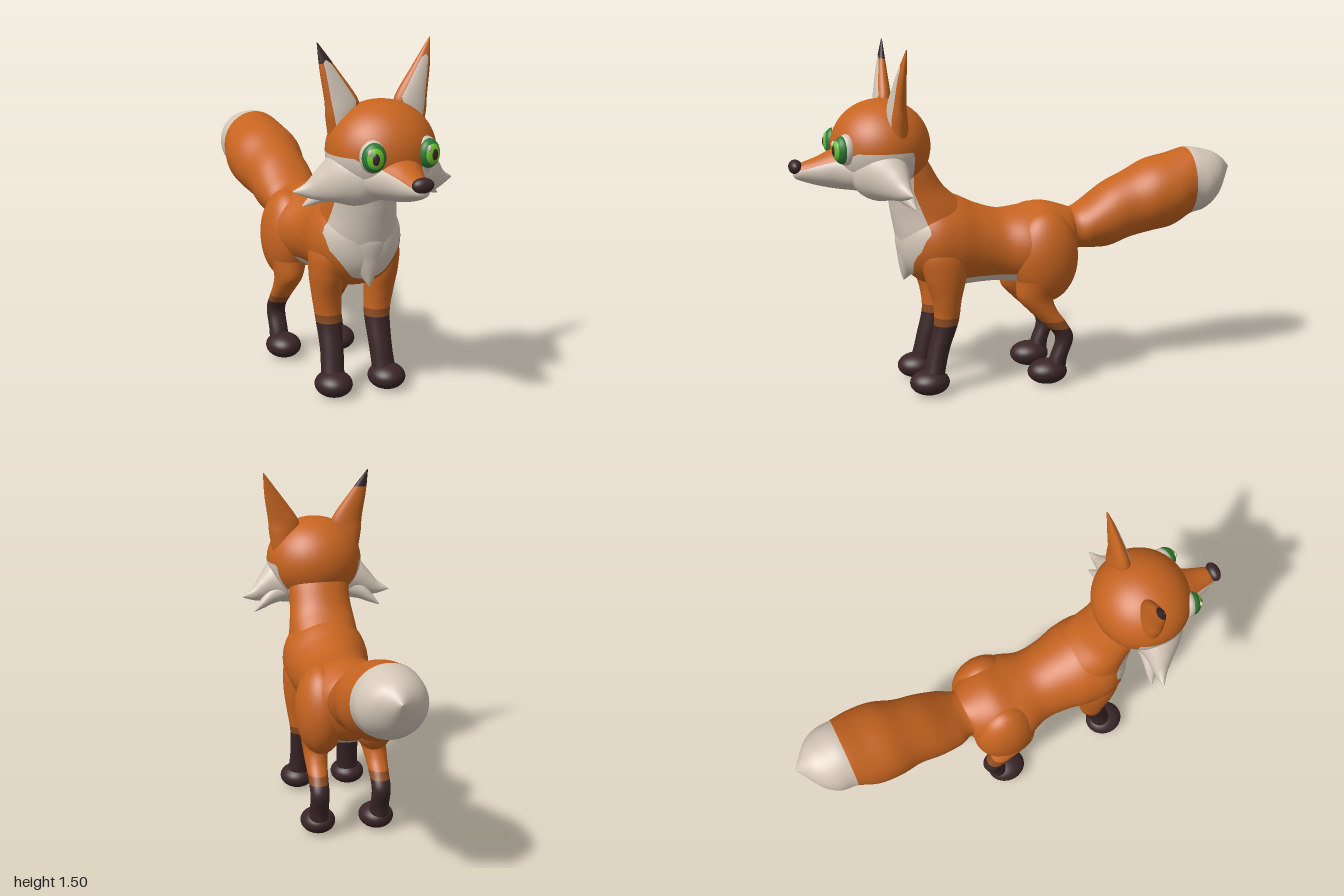
import * as THREE from 'three';

const mat = (name, color) => new THREE.MeshStandardMaterial({ name, color });

// Closed-ring loft. Stations [x, y, z, ra, rb] increase along the axis; rings are ellipses across it.
const RING_AXES = { x: [1, 2], y: [2, 0], z: [0, 1] };
function loft(axis, stations, seg = 36, steps = 8) {
  const centre = new THREE.CatmullRomCurve3(stations.map(s => new THREE.Vector3(s[0], s[1], s[2])), false, 'catmullrom');
  const radii = new THREE.CatmullRomCurve3(stations.map(s => new THREE.Vector3(s[3], s[4], 0)), false, 'catmullrom');
  const [u, v] = RING_AXES[axis];
  const n = (stations.length - 1) * steps, pos = [], idx = [];
  for (let i = 0; i <= n; i++) {
    const c = centre.getPoint(i / n), r = radii.getPoint(i / n);
    for (let j = 0; j < seg; j++) {
      const a = j / seg * Math.PI * 2, p = c.toArray();
      p[u] += Math.max(r.x, 0.001) * Math.cos(a);
      p[v] += Math.max(r.y, 0.001) * Math.sin(a);
      pos.push(...p);
      if (i < n) {
        const k = i * seg + j, b = i * seg + (j + 1) % seg;
        idx.push(k, b, b + seg, k, b + seg, k + seg);
      }
    }
  }
  const g = new THREE.BufferGeometry();
  g.setAttribute('position', new THREE.Float32BufferAttribute(pos, 3));
  g.setIndex(idx);
  g.computeVertexNormals();
  return g;
}

function ellipsoid(x, y, z, rx, ry, rz, seg = 36) {
  return new THREE.SphereGeometry(1, seg, Math.round(seg * 0.7)).scale(rx, ry, rz).translate(x, y, z);
}

// Piecewise linear lookup through [t, value] points
function ramp(pts, t) {
  if (t <= pts[0][0]) return pts[0][1];
  for (let i = 1; i < pts.length; i++) {
    const [a, va] = pts[i - 1], [b, vb] = pts[i];
    if (t <= b) return va + (vb - va) * (t - a) / (b - a);
  }
  return pts[pts.length - 1][1];
}

// Splits triangles cleanly along f = 0; each rule [material, f] takes the region where f > 0.
function paintedMesh(name, geometry, base, rules) {
  const src = geometry.toNonIndexed(), P = src.attributes.position, N = src.attributes.normal;
  let rest = [];
  const vert = i => [P.getX(i), P.getY(i), P.getZ(i), N.getX(i), N.getY(i), N.getZ(i)];
  for (let i = 0; i < P.count; i += 3) rest.push([vert(i), vert(i + 1), vert(i + 2)]);
  const parts = [];
  for (const [material, f] of rules) {
    const inside = [], outside = [];
    for (const tri of rest) {
      const d = tri.map(p => f(p[0], p[1], p[2]));
      const polys = [[], []];
      for (let i = 0; i < 3; i++) {
        const j = (i + 1) % 3;
        polys[d[i] > 0 ? 0 : 1].push(tri[i]);
        if ((d[i] > 0) !== (d[j] > 0)) {
          const t = d[i] / (d[i] - d[j]);
          const cut = tri[i].map((c, k) => c + (tri[j][k] - c) * t);
          polys[0].push(cut);
          polys[1].push(cut);
        }
      }
      polys.forEach((q, s) => {
        for (let k = 2; k < q.length; k++) (s ? outside : inside).push([q[0], q[k - 1], q[k]]);
      });
    }
    parts.push([material, inside]);
    rest = outside;
  }
  parts.push([base, rest]);
  const g = new THREE.BufferGeometry(), pos = [], nor = [], mats = [];
  for (const [material, tris] of parts) {
    if (!tris.length) continue;
    g.addGroup(pos.length / 3, tris.length * 3, mats.length);
    mats.push(material);
    for (const t of tris) for (const p of t) { pos.push(p[0], p[1], p[2]); nor.push(p[3], p[4], p[5]); }
  }
  g.setAttribute('position', new THREE.Float32BufferAttribute(pos, 3));
  g.setAttribute('normal', new THREE.Float32BufferAttribute(nor, 3));
  const m = new THREE.Mesh(g, mats);
  m.name = name;
  return m;
}

export function createModel() {
  const root = new THREE.Group();
  root.name = 'fox';
  const orange = mat('orange fur', 0xc66420), cream = mat('cream fur', 0xd4c6b8), dark = mat('dark brown fur', 0x3a2527);
  const band = mat('brown fur', 0x8c4a20), darkGreen = mat('dark green', 0x2c7a34), green = mat('bright green', 0x6cc42e);
  const add = (name, g, base, rules = []) => root.add(paintedMesh(name, g, base, rules));

  // Colour regions
  const bibBack = [[0.5, 0.5], [0.6, 0.455], [0.72, 0.43], [0.9, 0.5]];
  const bibWidth = [[0.46, 0], [0.55, 0.085], [0.65, 0.16], [0.72, 0.175], [0.8, 0.155], [0.9, 0.15]];
  const bib = [cream, (x, y, z) => Math.min(z - ramp(bibBack, y), ramp(bibWidth, y) - Math.abs(x))];
  const belly = [cream, (x, y, z) => Math.min(0.51 - y, 0.3 - z, z + 0.17)];
  const maskLine = [[0.74, 1.08], [0.8, 1.04], [0.95, 1.0], [1, 0.99]];
  const mask = [cream, (x, y, z) => Math.min(ramp(maskLine, z) - y, z - 0.505)];

  // Torso, neck and chest tuft
  add('torso', loft('z', [
    [0, 0.67, -0.26, 0.07, 0.08], [0, 0.625, -0.2, 0.15, 0.15], [0, 0.61, -0.1, 0.2, 0.19],
    [0, 0.615, 0, 0.2, 0.17], [0, 0.62, 0.1, 0.165, 0.16], [0, 0.635, 0.2, 0.168, 0.175],
    [0, 0.655, 0.3, 0.19, 0.2], [0, 0.665, 0.4, 0.193, 0.2], [0, 0.67, 0.48, 0.155, 0.165],
    [0, 0.67, 0.53, 0.09, 0.1], [0, 0.67, 0.55, 0.001, 0.001]], 48), orange, [bib, belly]);
  add('neck', loft('y', [
    [0, 0.58, 0.4, 0.13, 0.15], [0, 0.7, 0.39, 0.165, 0.168], [0, 0.8, 0.408, 0.165, 0.155],
    [0, 0.9, 0.468, 0.123, 0.142], [0, 1.0, 0.525, 0.12, 0.14], [0, 1.08, 0.56, 0.11, 0.12]], 48), orange, [bib]);
  add('chestTuft', loft('y', [
    [0, 0.49, 0.52, 0.002, 0.002], [0, 0.53, 0.5, 0.034, 0.03], [0, 0.6, 0.475, 0.07, 0.075],
    [0, 0.7, 0.46, 0.09, 0.11], [0, 0.78, 0.44, 0.05, 0.06]]), cream);

  // Tail with pale tip
  add('tail', loft('z', [
    [0, 0.905, -1, 0.001, 0.001], [0, 0.89, -0.965, 0.05, 0.055], [0, 0.87, -0.92, 0.108, 0.105],
    [0, 0.855, -0.86, 0.143, 0.138], [0, 0.85, -0.79, 0.15, 0.153], [0, 0.815, -0.7, 0.172, 0.165],
    [0, 0.795, -0.6, 0.172, 0.163], [0, 0.76, -0.5, 0.15, 0.15], [0, 0.72, -0.4, 0.146, 0.143],
    [0, 0.685, -0.3, 0.132, 0.107], [0, 0.67, -0.24, 0.108, 0.093], [0, 0.66, -0.16, 0.12, 0.1]], 48),
  orange, [[cream, (x, y, z) => -0.785 - z]]);

  // Head, snout and nose
  add('head', ellipsoid(0, 1.08, 0.61, 0.222, 0.2, 0.21, 56), orange, [mask]);
  add('snout', loft('z', [
    [0, 0.99, 0.5, 0.12, 0.08], [0, 0.99, 0.6, 0.2, 0.112], [0, 0.987, 0.7, 0.175, 0.09],
    [0, 0.995, 0.8, 0.1, 0.085], [0, 0.988, 0.88, 0.066, 0.06], [0, 0.987, 0.95, 0.042, 0.036],
    [0, 0.985, 0.975, 0.022, 0.02], [0, 0.985, 0.98, 0.001, 0.001]], 48), orange, [mask]);
  add('nose', ellipsoid(0, 1.01, 0.97, 0.045, 0.03, 0.028, 24), dark);

  for (const s of [1, -1]) {
    const side = s > 0 ? 'left' : 'right';
    const mirror = (axis, st) => {
      const m = st.map(([x, ...r]) => [x * s, ...r]);
      return axis === 'x' && s < 0 ? m.reverse() : m;
    };
    const limb = (name, axis, st, base, rules) => add(side + name, loft(axis, mirror(axis, st)), base, rules);

    // Cheek ruff with two points
    limb('Cheek', 'x', [
      [0.05, 0.985, 0.64, 0.1, 0.12], [0.13, 0.985, 0.635, 0.113, 0.12], [0.2, 0.985, 0.62, 0.098, 0.09],
      [0.26, 0.955, 0.59, 0.06, 0.05], [0.3, 0.934, 0.57, 0.03, 0.025], [0.35, 0.927, 0.552, 0.003, 0.003]], orange, [mask]);
    limb('CheekPoint', 'x', [
      [0.1, 0.96, 0.6, 0.06, 0.07], [0.2, 0.93, 0.57, 0.045, 0.045],
      [0.25, 0.9, 0.55, 0.03, 0.028], [0.3, 0.86, 0.528, 0.003, 0.003]], cream);

    // Ear with pale lining; only the right one has a dark tip
    const lining = [cream, (x, y, z) => {
      const t = (y - 1.15) / 0.35, cx = ramp([[1.28, 0.152], [1.4, 0.2], [1.5, 0.245]], y);
      const half = ramp([[1.18, 0.035], [1.28, 0.052], [1.43, 0.014], [1.44, 0]], y);
      return Math.min(half - Math.abs(x * s - cx), z - (0.575 - 0.03 * t), 1.44 - y);
    }];
    limb('Ear', 'y', [
      [0.145, 1.14, 0.565, 0.045, 0.06], [0.15, 1.22, 0.568, 0.042, 0.068], [0.152, 1.28, 0.568, 0.036, 0.07],
      [0.202, 1.4, 0.558, 0.02, 0.037], [0.244, 1.505, 0.545, 0.002, 0.002]], orange,
    s > 0 ? [lining] : [lining, [dark, (x, y) => y - 1.425]]);

    // Eye: eyeball with layered iris, pupil and glint
    const eye = new THREE.Group();
    eye.name = side + 'Eye';
    eye.position.set(0.113 * s, 1.09, 0.775);
    eye.rotation.y = 0.22 * s;
    const layers = [['eyeball', cream, 0, 0, 0, 0.053, 0.065, 0.038], ['irisRim', darkGreen, 0, 0, 0.018, 0.048, 0.058, 0.036],
      ['iris', green, 0, 0, 0.04, 0.034, 0.042, 0.018], ['pupil', dark, 0, 0, 0.052, 0.016, 0.024, 0.009],
      ['glint', cream, -0.021, 0.024, 0.048, 0.009, 0.014, 0.008]];
    for (const [name, m, ...dims] of layers) {
      const mesh = new THREE.Mesh(ellipsoid(...dims, 28), m);
      mesh.name = name;
      eye.add(mesh);
    }
    root.add(eye);

    // Legs with dark stockings, and paws
    const stocking = y0 => [[dark, (x, y) => y0 - y], [band, (x, y) => y0 + 0.035 - y]];
    limb('FrontLeg', 'y', [
      [0.122, 0.05, 0.43, 0.05, 0.055], [0.118, 0.1, 0.418, 0.046, 0.05], [0.112, 0.2, 0.395, 0.046, 0.05],
      [0.112, 0.32, 0.362, 0.053, 0.056], [0.12, 0.42, 0.36, 0.064, 0.063], [0.125, 0.52, 0.365, 0.09, 0.07],
      [0.125, 0.62, 0.37, 0.1, 0.068], [0.11, 0.7, 0.37, 0.06, 0.05]], orange, stocking(0.31));
    add(side + 'FrontPaw', ellipsoid(0.123 * s, 0.058, 0.44, 0.079, 0.055, 0.086), dark);
    add(side + 'Thigh', ellipsoid(0.118 * s, 0.575, -0.085, 0.11, 0.2, 0.145), orange);
    limb('BackLeg', 'y', [
      [0.135, 0.05, -0.125, 0.045, 0.045], [0.137, 0.12, -0.14, 0.038, 0.042], [0.138, 0.21, -0.166, 0.04, 0.042],
      [0.137, 0.28, -0.12, 0.052, 0.044], [0.135, 0.34, -0.068, 0.062, 0.05], [0.13, 0.4, -0.035, 0.08, 0.06],
      [0.125, 0.48, -0.05, 0.1, 0.08]], orange, stocking(0.255));
    add(side + 'BackPaw', ellipsoid(0.133 * s, 0.058, -0.09, 0.077, 0.055, 0.088), dark);
  }
  return root;
}
